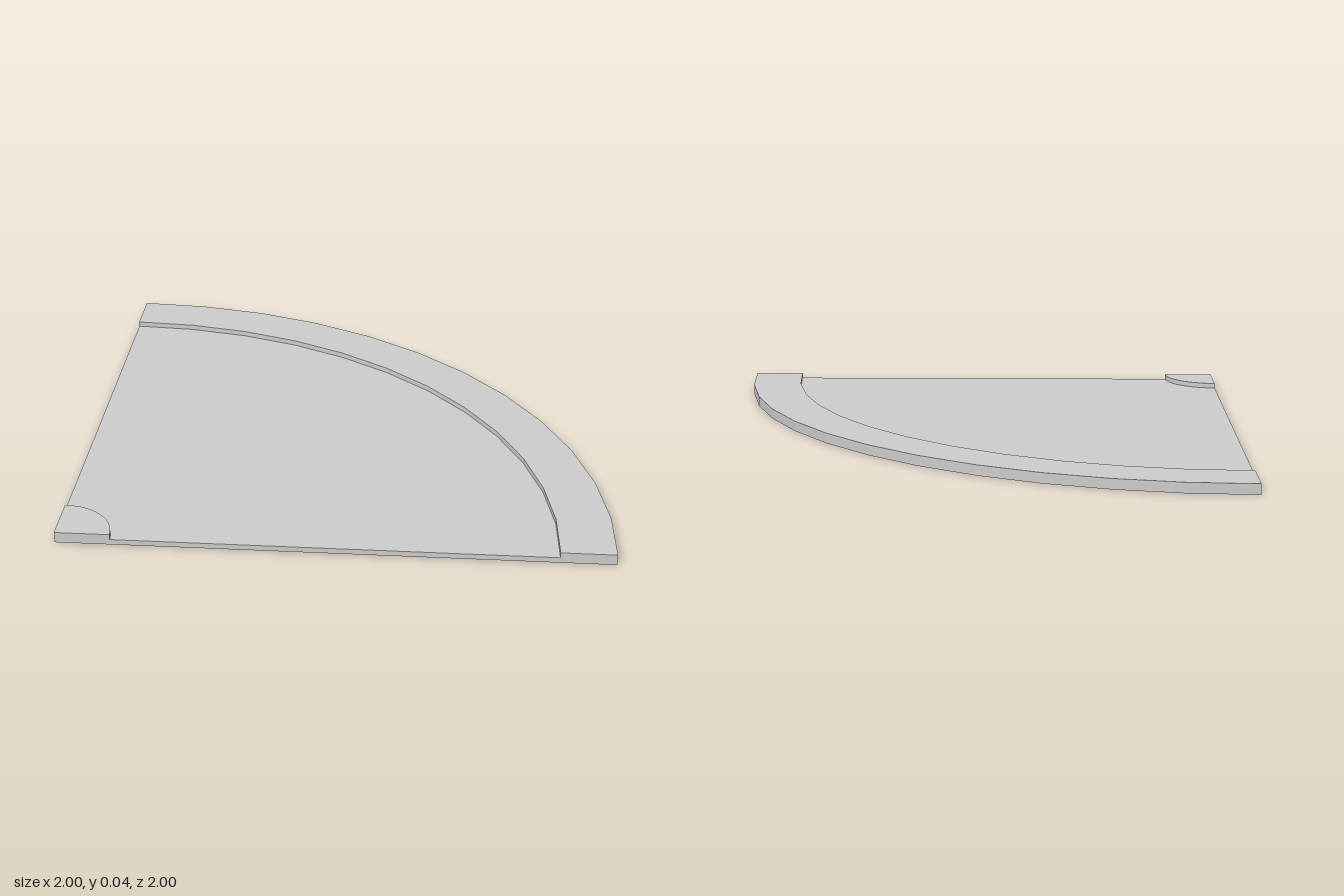
import * as THREE from 'three';

const SEGMENTS = 12; // facets along each quarter arc

// Quarter-circle sector between two radii, standing on y = 0, corner at the origin
function sector(name, inner, outer, height, material) {
  const arc = (r) => Array.from({ length: SEGMENTS + 1 }, (_, i) => {
    const a = (i / SEGMENTS) * Math.PI / 2;
    return new THREE.Vector2(r * Math.cos(a), r * Math.sin(a));
  });
  const innerEdge = inner > 0 ? arc(inner).reverse() : [new THREE.Vector2(0, 0)];
  const shape = new THREE.Shape([...arc(outer), ...innerEdge]);
  const geometry = new THREE.ExtrudeGeometry(shape, { depth: height, bevelEnabled: false });
  geometry.rotateX(-Math.PI / 2);
  const mesh = new THREE.Mesh(geometry, material);
  mesh.name = name;
  return mesh;
}

export function createModel() {
  const group = new THREE.Group();
  group.name = 'quarterDisc';
  const material = new THREE.MeshStandardMaterial({ color: 0xcccccc, flatShading: true });

  const plate = new THREE.Group();
  plate.name = 'quarterPlate';
  plate.add(
    sector('cornerHub', 0, 0.2, 0.04, material),        // raised corner
    sector('recessedFloor', 0.2, 1.8, 0.02, material),  // sunken middle
    sector('outerRim', 1.8, 2, 0.04, material),         // raised curved border
  );
  // Corner sits at the front right so the plate is centred
  plate.position.set(-1, 0, 1);
  group.add(plate);
  return group;
}
